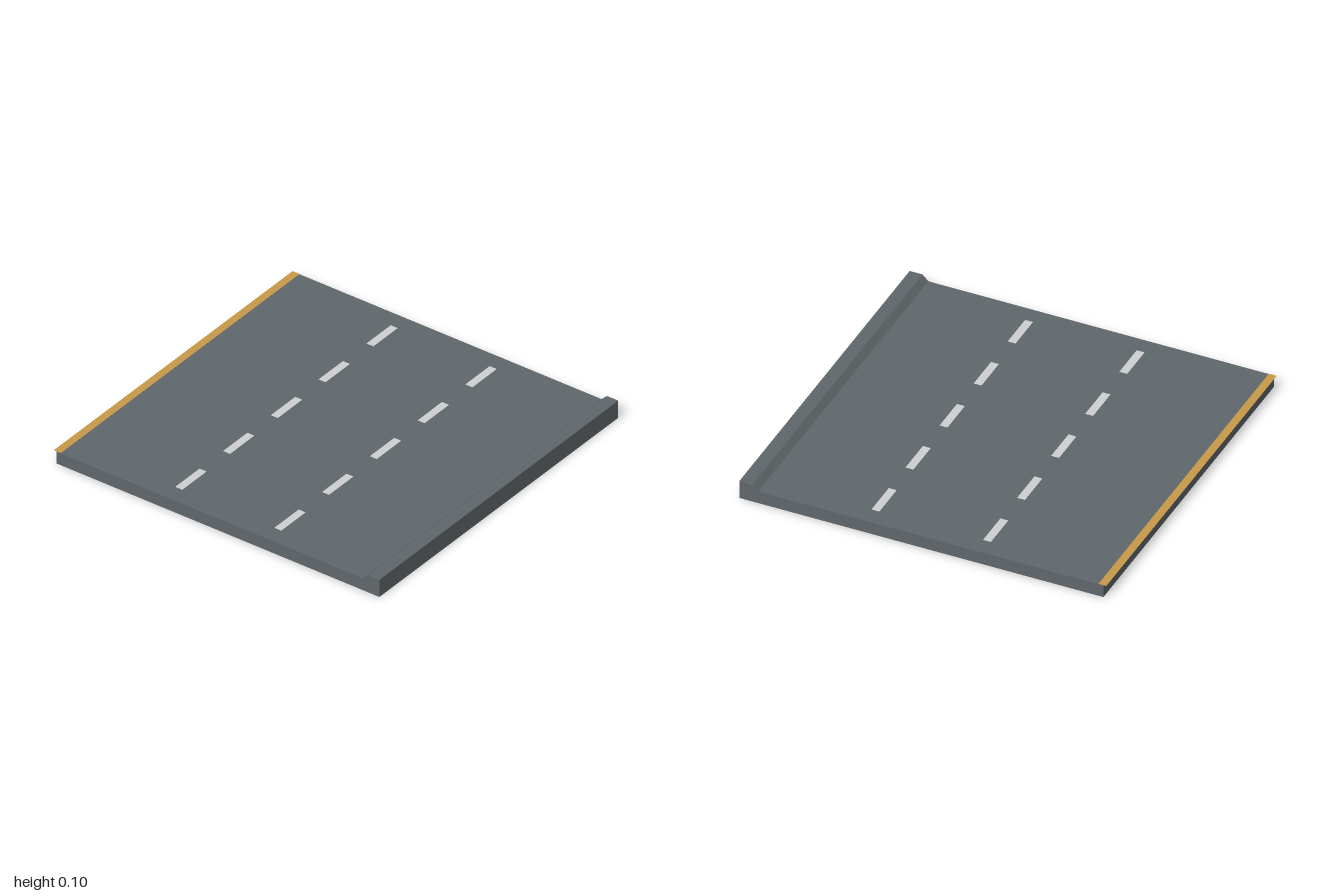
import * as THREE from 'three';

const material = (name, color) => {
  const m = new THREE.MeshStandardMaterial({ color });
  m.name = name;
  return m;
};

export function createModel() {
  const asphalt = material('asphalt grey', 0x60676a);
  const white = material('lane white', 0xcdd0d2);
  const yellow = material('edge yellow', 0xc89a48);

  const road = new THREE.Group();
  road.name = 'roadSection';
  const depth = 1.976;
  const surface = 0.07;

  // Road slab with a chamfered kerb, extruded along z
  const profile = new THREE.Shape([
    [-0.984, 0], [1, 0], [1, 0.102], [0.93, 0.102], [0.898, surface], [-0.984, surface],
  ].map(([x, y]) => new THREE.Vector2(x, y)));
  const slabGeometry = new THREE.ExtrudeGeometry(profile, { depth, bevelEnabled: false });
  slabGeometry.translate(0, 0, -depth / 2);
  const slab = new THREE.Mesh(slabGeometry, asphalt);
  slab.name = 'roadSlabWithKerb';
  road.add(slab);

  // Flat painted marking just above the road surface
  const addMarking = (name, width, length, x, z, mat) => {
    const geometry = new THREE.PlaneGeometry(width, length).rotateX(-Math.PI / 2);
    const mesh = new THREE.Mesh(geometry, mat);
    mesh.position.set(x, surface + 0.002, z);
    mesh.name = name;
    road.add(mesh);
  };

  // Continuous edge line, slightly overhanging the slab
  addMarking('edgeLine', 0.043, depth, -0.9785, 0, yellow);

  // Two rows of lane dashes
  for (const x of [-0.304, 0.304]) {
    for (let i = -2; i <= 2; i++) {
      addMarking('laneDash', 0.043, 0.202, x, i * depth / 5, white);
    }
  }
  return road;
}
